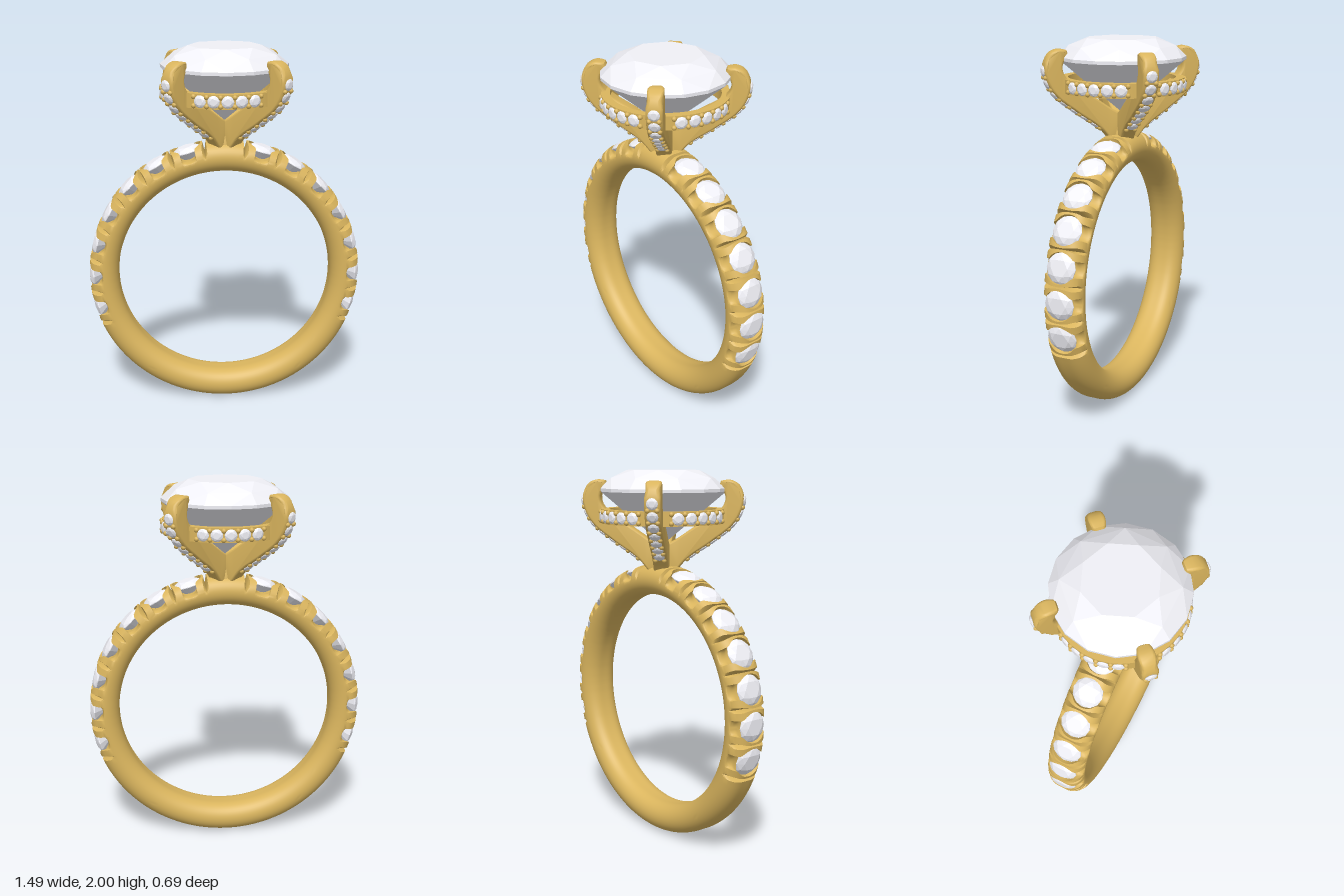
import * as THREE from 'three';
import { toCreasedNormals } from 'three/addons/utils/BufferGeometryUtils.js';
import { ConvexGeometry } from 'three/addons/geometries/ConvexGeometry.js';

const gold = new THREE.MeshStandardMaterial({ color: 0xdab55e });
const gem = new THREE.MeshStandardMaterial({ color: 0xf0f0f6 });
const UP = new THREE.Vector3(0, 1, 0);
const DEG = Math.PI / 180;

// Band dimensions, and spacing of the band stones (angles from the top)
const CY = 0.75, R_OUT = 0.747, R_IN = 0.587, HALF_W = 0.105;
const MID = (R_OUT + R_IN) / 2;
const FIRST = 16.2 * DEG, STEP = 14.7 * DEG, COUNT = 7;
const SCALLOP = 0.0425, STONE_R = 0.08;

function mesh(name, geometry, material, parent) {
  const m = new THREE.Mesh(geometry, material);
  m.name = name;
  parent.add(m);
  return m;
}

// Brilliant cut with unit girdle radius at y = 0, pointing up
function brilliant(n) {
  const pts = [new THREE.Vector3(0, -0.84, 0)];
  const ring = (count, r, y, offset) => {
    for (let i = 0; i < count; i++) {
      const a = (i + offset) * 2 * Math.PI / count;
      pts.push(new THREE.Vector3(r * Math.sin(a), y, r * Math.cos(a)));
    }
  };
  ring(n, 0.57, 0.33, 0);
  ring(n, 0.84, 0.21, 0.5);
  ring(n * 2, 1, 0.05, 0);
  ring(n * 2, 1, 0, 0);
  return new ConvexGeometry(pts);
}
const bigCut = brilliant(8), smallCut = brilliant(6);
const beadGeo = new THREE.SphereGeometry(0.013, 8, 6);

function addStone(name, parent, radius, pos, dir) {
  const s = mesh(name, smallCut, gem, parent);
  s.scale.setScalar(radius);
  s.position.copy(pos);
  s.quaternion.setFromUnitVectors(UP, dir);
}

function addBead(parent, x, y, z) {
  mesh('bead', beadGeo, gold, parent).position.set(x, y, z);
}

// Band outline as [angle, radius], with scallops under the stones and V cuts between
function bandOutline() {
  const half = [];
  const put = (t, r) => half.push([t, r]);
  const arc = (a, b) => {
    const n = Math.ceil((b - a) / (2.5 * DEG));
    for (let i = 0; i <= n; i++) put(a + (b - a) * i / n, R_OUT);
  };
  const cut = 1.1 * DEG;
  arc(0, FIRST - STEP / 2 - cut);
  for (let k = 0; k <= COUNT; k++) {
    const c = FIRST + k * STEP, notch = c - STEP / 2;
    put(notch, R_OUT - 0.055);
    if (k === COUNT) { arc(notch + cut, Math.PI); break; }
    put(notch + cut, R_OUT);
    put(c - SCALLOP / R_OUT, R_OUT);
    for (let i = 0; i <= 10; i++) {
      const s = Math.PI * i / 10;
      put(c - SCALLOP * Math.cos(s) / R_OUT, R_OUT - 0.028 - SCALLOP * Math.sin(s));
    }
    put(c + SCALLOP / R_OUT, R_OUT);
    put(c + STEP / 2 - cut, R_OUT);
  }
  const left = half.slice(1, -1).reverse().map(([t, r]) => [2 * Math.PI - t, r]);
  return [...half, ...left];
}

// Angle moved so that each scallop widens into a round seat near z = 0
function seatAngle(angle, z) {
  const side = angle > Math.PI ? -1 : 1;
  const t = side > 0 ? angle : 2 * Math.PI - angle;
  const k = THREE.MathUtils.clamp(Math.round((t - FIRST) / STEP), 0, COUNT - 1);
  const centre = FIRST + k * STEP, pitch = STEP * R_OUT / 2;
  const u = (t - centre) * R_OUT, d = Math.abs(u);
  if (d >= pitch) return angle;
  const w = Math.max(SCALLOP, Math.sqrt(Math.max(0, STONE_R ** 2 - z * z)));
  const moved = d < SCALLOP ? d * w / SCALLOP : w + (d - SCALLOP) * (pitch - w) / (pitch - SCALLOP);
  return side * (centre + Math.sign(u) * moved / R_OUT);
}

// Closed rounded sections swept round the outline: outer face one way, bore the other
function bandGeometry() {
  const ROWS = 24, outline = bandOutline();
  const positions = [], index = [], loop = ROWS * 2, n = outline.length;
  outline.forEach(([angle, radius], i) => {
    for (let j = 0; j < loop; j++) {
      const isOuter = j <= ROWS;
      const z = -HALF_W * Math.cos(j / ROWS * Math.PI);
      const edge = Math.min(1, Math.max(0, Math.abs(z) - 0.025) / (HALF_W - 0.025));
      const r = MID + ((isOuter ? radius : R_IN) - MID) * Math.sqrt(1 - edge * edge);
      const t = isOuter ? seatAngle(angle, z) : angle;
      positions.push(r * Math.sin(t), r * Math.cos(t), z);
      const a = i * loop + j, b = i * loop + (j + 1) % loop;
      const c = ((i + 1) % n) * loop + j, d = ((i + 1) % n) * loop + (j + 1) % loop;
      index.push(a, b, c, b, d, c);
    }
  });
  const geo = new THREE.BufferGeometry();
  geo.setAttribute('position', new THREE.Float32BufferAttribute(positions, 3));
  geo.setIndex(index);
  return toCreasedNormals(geo, 0.6);
}

function createBand() {
  const band = new THREE.Group();
  band.name = 'band';
  band.position.y = CY;
  mesh('bandMetal', bandGeometry(), gold, band);
  for (const side of [-1, 1]) {
    for (let k = 0; k < COUNT; k++) {
      const t = side * (FIRST + k * STEP);
      const dir = new THREE.Vector3(Math.sin(t), Math.cos(t), 0);
      addStone('bandStone', band, STONE_R, dir.clone().multiplyScalar(R_OUT - 0.028), dir);
    }
  }
  return band;
}

// Claw: side profile (distance from axis, height) with stones down its outer face
const toCurve = a => new THREE.CatmullRomCurve3(a.map(([x, y]) => new THREE.Vector3(x, y, 0)));
const outer = toCurve([[0.07, 1.46], [0.13, 1.53], [0.27, 1.63], [0.37, 1.71], [0.415, 1.78],
  [0.43, 1.86], [0.405, 1.925], [0.355, 1.95], [0.31, 1.945]]);
const inner = toCurve([[0.295, 1.91], [0.33, 1.88], [0.33, 1.83], [0.28, 1.77], [0.165, 1.7],
  [0.06, 1.63], [0, 1.6]]);

function prongGeometry() {
  const pts = [...outer.getSpacedPoints(36), ...inner.getSpacedPoints(24), new THREE.Vector3(0, 1.46, 0)];
  const geo = new THREE.ExtrudeGeometry(new THREE.Shape(pts.map(v => new THREE.Vector2(v.x, v.y))), {
    depth: 0.05, bevelThickness: 0.016, bevelSize: 0.012, bevelOffset: -0.012, bevelSegments: 4,
  });
  geo.translate(0, 0, -0.025);
  // Round the tip as seen from above
  const p = geo.attributes.position;
  for (let i = 0; i < p.count; i++) {
    const k = THREE.MathUtils.clamp((p.getY(i) - 1.87) / 0.04, 0, 1);
    const round = Math.sqrt(Math.max(0.12, 1 - ((p.getX(i) - 0.362) / 0.075) ** 2));
    p.setZ(i, p.getZ(i) * THREE.MathUtils.lerp(1, round, k));
  }
  return toCreasedNormals(geo, 0.6);
}

function createProng(geo) {
  const prong = new THREE.Group();
  prong.name = 'prong';
  mesh('prongMetal', geo, gold, prong);
  const length = outer.getLength();
  for (let i = 0; i < 7; i++) {
    const s = 0.13 + i * 0.068;
    const tan = outer.getTangentAt(s / length);
    const dir = new THREE.Vector3(tan.y, -tan.x, 0).normalize();
    addStone('prongStone', prong, 0.03, outer.getPointAt(s / length).addScaledVector(dir, 0.001), dir);
    const b = outer.getPointAt((s - 0.034) / length);
    for (const z of [-0.024, 0.024]) addBead(prong, b.x, b.y, z);
  }
  return prong;
}

// Halo rail below the girdle, set with small stones between the prongs
function createHalo() {
  const halo = new THREE.Group();
  halo.name = 'halo';
  const profile = [[0.285, 1.723], [0.33, 1.723], [0.33, 1.797], [0.285, 1.797], [0.285, 1.723]];
  const rail = new THREE.LatheGeometry(profile.map(([x, y]) => new THREE.Vector2(x, y)), 72);
  mesh('haloRail', toCreasedNormals(rail, 0.6), gold, halo);
  for (let q = 0; q < 4; q++) {
    for (let i = -2; i <= 3; i++) {
      const a = (q * 90 + i * 12.2) * DEG;
      const dir = new THREE.Vector3(Math.sin(a), 0, Math.cos(a));
      if (i < 3) addStone('haloStone', halo, 0.032, dir.clone().multiplyScalar(0.331).setY(1.76), dir);
      const b = a - 6.1 * DEG;
      for (const y of [1.737, 1.783]) addBead(halo, 0.332 * Math.sin(b), y, 0.332 * Math.cos(b));
    }
  }
  return halo;
}

export function createModel() {
  const ring = new THREE.Group();
  ring.name = 'ring';
  ring.add(createBand(), createHalo());

  // Four claws on a tapered collet
  const geo = prongGeometry();
  for (let i = 0; i < 4; i++) {
    const prong = createProng(geo);
    prong.rotation.y = (45 + i * 90) * DEG;
    ring.add(prong);
  }
  mesh('collet', new THREE.CylinderGeometry(0.05, 0.075, 0.13, 24), gold, ring).position.y = 1.515;

  // Centre stone
  const centre = mesh('centreStone', bigCut, gem, ring);
  centre.scale.setScalar(0.337);
  centre.position.y = 1.889;
  return ring;
}
